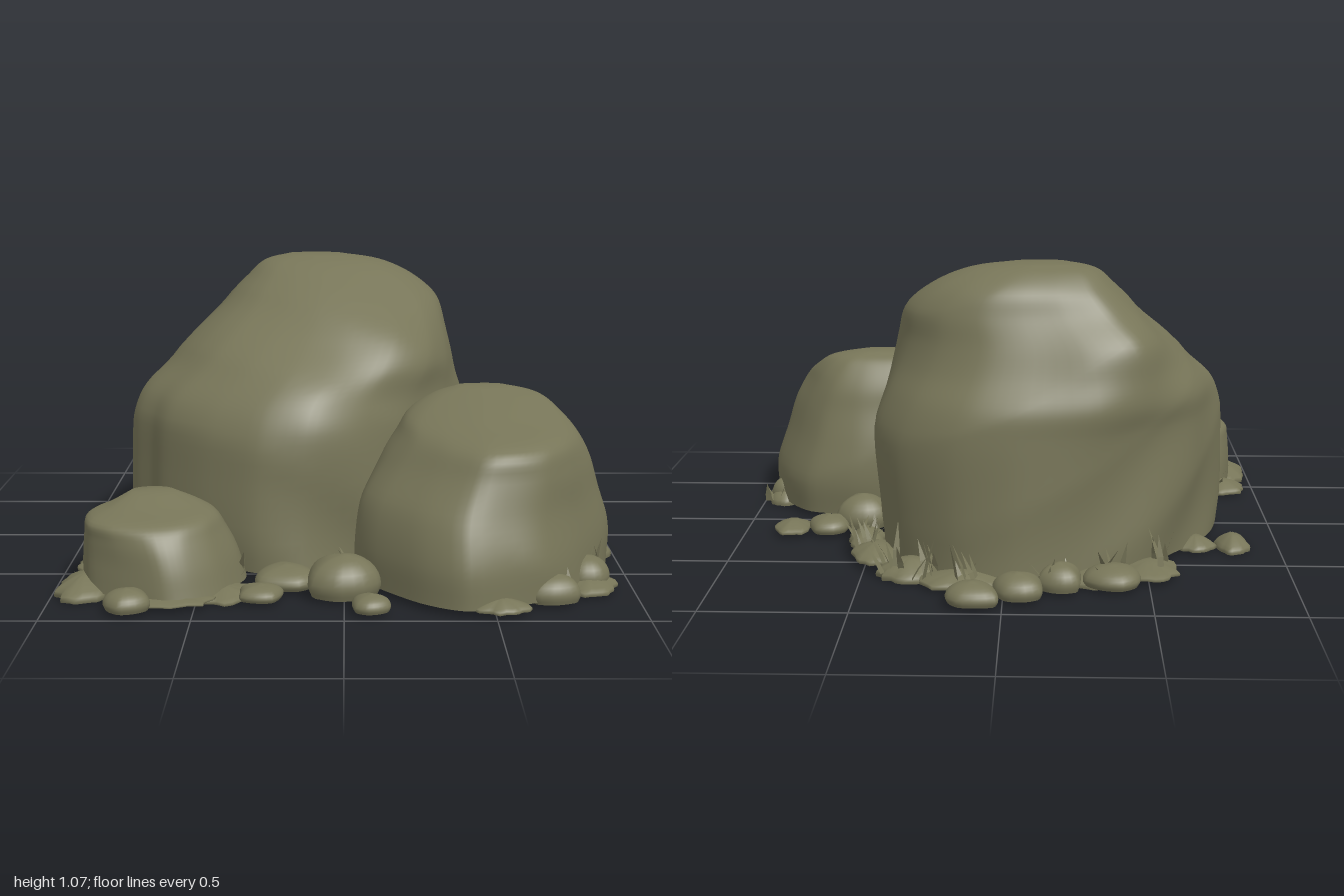
import * as THREE from 'three';

const stone = new THREE.MeshStandardMaterial({ color: 0x777558, side: THREE.DoubleSide });
stone.name = 'mossy stone';

// Small seeded random generator
function seeded(seed) {
  let s = seed;
  return () => {
    s = (s * 16807) % 2147483647;
    return s / 2147483647;
  };
}

// Gentle dents and ridges for weathered rock
function weather(p, seed) {
  return Math.sin(5 * p.x + 4 * p.y + seed) * Math.sin(5 * p.z - 6 * p.y + 2 * seed)
    + 0.5 * Math.sin(11 * p.x - 8 * p.z + 7 * p.y + seed)
    - 0.5 * Math.abs(Math.sin(4 * p.x + 9 * p.y - 3 * p.z + seed));
}

// Closed outline, optionally smoothed, scaled to run from 0 to 1 both ways
function unitLoop(outline, cols, smooth) {
  let loop = outline.map(([x, z]) => new THREE.Vector3(x, 0, z));
  if (smooth) loop = new THREE.CatmullRomCurve3(loop, true, 'catmullrom', 0.4).getPoints(cols).slice(0, cols);
  const box = new THREE.Box3().setFromPoints(loop);
  const size = box.getSize(new THREE.Vector3());
  return loop.map((q) => [(q.x - box.min.x) / size.x, (q.z - box.min.z) / size.z]);
}

// Loft an outline through rings [y, minX, maxX, minZ, maxZ, share of upper outline],
// with a flat base and closed top
function loftRock(outline, rings, { upper = outline, cols = 72, rows = 36, bump = 0, seed = 1, smooth = true } = {}) {
  const low = unitLoop(outline, cols, smooth), high = unitLoop(upper, cols, smooth);
  const n = low.length;
  const columns = low.map(([u, v], k) => {
    const path = rings.map(([y, x0, x1, z0, z1, t = 0]) => new THREE.Vector3(
      THREE.MathUtils.lerp(x0, x1, THREE.MathUtils.lerp(u, high[k][0], t)), y,
      THREE.MathUtils.lerp(z0, z1, THREE.MathUtils.lerp(v, high[k][1], t))));
    const column = new THREE.CatmullRomCurve3(path, false, 'centripetal').getPoints(rows);
    const dir = new THREE.Vector2(u - 0.5, v - 0.5).normalize();
    column.forEach((p) => {
      const d = weather(p, seed) * bump;
      p.x += dir.x * d;
      p.z += dir.y * d;
    });
    return column;
  });
  const pos = [], index = [];
  const mid = (row) => columns.reduce((a, c) => a.add(c[row]), new THREE.Vector3()).divideScalar(n);
  for (let r = 0; r <= rows; r++) columns.forEach((c) => pos.push(...c[r].toArray()));
  const top = (rows + 1) * n;
  const peak = mid(rows);
  pos.push(peak.x, peak.y + 0.004, peak.z);
  columns.forEach((c) => pos.push(...c[0].toArray()));
  pos.push(...mid(0).toArray());
  for (let k = 0; k < n; k++) {
    const k2 = (k + 1) % n;
    for (let r = 0; r < rows; r++) {
      const a = r * n + k, b = r * n + k2;
      index.push(a, a + n, b, b, a + n, b + n);
    }
    index.push(rows * n + k, top, rows * n + k2);
    index.push(top + 1 + k, top + 1 + k2, top + 1 + n);
  }
  const g = new THREE.BufferGeometry();
  g.setAttribute('position', new THREE.Float32BufferAttribute(pos, 3));
  g.setIndex(index);
  g.computeVertexNormals();
  return g;
}

// Rings of a low dome, used by pebbles and ground clumps
function domeRings(x, z, rx, rz, h, base, steps) {
  return steps.map(([t, s]) => [base + (h - base) * t, x - rx * s, x + rx * s, z - rz * s, z + rz * s]);
}

// Round plan outline with a radius rule
function roundOutline(n, radius) {
  return Array.from({ length: n }, (_, i) => {
    const a = (i / n) * Math.PI * 2, r = radius(i);
    return [-Math.cos(a) * r, -Math.sin(a) * r];
  });
}

// A fan of pointed grass blades
function grassTuft(x, z, height, seed) {
  const rnd = seeded(seed * 977 + 13), pos = [];
  for (let i = 0; i < 6; i++) {
    const a = rnd() * Math.PI * 2, lean = 0.02 + rnd() * 0.05, h = height * (0.5 + rnd() * 0.5);
    const bx = x + (rnd() - 0.5) * 0.09, bz = z + (rnd() - 0.5) * 0.09;
    const dx = Math.cos(a), dz = Math.sin(a), w = 0.012;
    const l = [bx - dz * w, 0.02, bz + dx * w], r = [bx + dz * w, 0.02, bz - dx * w];
    const mx = bx + dx * lean * 0.35, mz = bz + dz * lean * 0.35;
    const ml = [mx - dz * w, h * 0.5, mz + dx * w], mr = [mx + dz * w, h * 0.5, mz - dx * w];
    pos.push(...l, ...r, ...mr, ...l, ...mr, ...ml, ...ml, ...mr, bx + dx * lean, h, bz + dz * lean);
  }
  const g = new THREE.BufferGeometry();
  g.setAttribute('position', new THREE.Float32BufferAttribute(pos, 3));
  g.computeVertexNormals();
  return g;
}

export function createModel() {
  const model = new THREE.Group();
  model.name = 'boulderCluster';
  const add = (name, geometry, parent = model) => {
    const mesh = new THREE.Mesh(geometry, stone);
    mesh.name = name;
    parent.add(mesh);
  };
  const group = (name) => {
    const g = new THREE.Group();
    g.name = name;
    model.add(g);
    return g;
  };

  // Tall boulder, sloping down towards the front, with full shoulders at back right and front left
  add('largeBoulder', loftRock(
    [[-0.81, 0.02], [-0.76, -0.19], [-0.66, -0.4], [-0.5, -0.58], [-0.29, -0.7], [-0.02, -0.75],
      [0.19, -0.71], [0.38, -0.58], [0.49, -0.4], [0.48, -0.19], [0.4, 0.05], [0.24, 0.29],
      [0.06, 0.45], [-0.13, 0.56], [-0.31, 0.56], [-0.5, 0.45], [-0.65, 0.31], [-0.71, 0.21], [-0.78, 0.12]],
    [[0.02, -0.8, 0.47, -0.74, 0.56], [0.3, -0.82, 0.48, -0.745, 0.57], [0.5, -0.8, 0.475, -0.74, 0.55, 0.1],
      [0.6, -0.77, 0.455, -0.73, 0.5, 0.3], [0.7, -0.67, 0.435, -0.68, 0.4, 0.7], [0.8, -0.58, 0.405, -0.64, 0.26, 1],
      [0.9, -0.47, 0.365, -0.59, 0.09, 1], [0.98, -0.39, 0.27, -0.55, -0.05, 1],
      [1.04, -0.33, 0.14, -0.48, -0.17, 1], [1.065, -0.24, 0, -0.42, -0.26, 1]],
    { upper: [[0, 0.55], [0, 0.38], [0.03, 0.2], [0.12, 0.06], [0.3, 0], [0.5, 0], [0.66, 0.03],
      [0.82, 0.12], [0.94, 0.26], [1, 0.42], [0.99, 0.6], [0.92, 0.78], [0.78, 0.92], [0.6, 0.99],
      [0.45, 1], [0.3, 0.96], [0.16, 0.88], [0.08, 0.78], [0.03, 0.67]],
    cols: 96, rows: 48, bump: 0.014, seed: 2 }));

  // Medium boulder at the front left of the model
  add('mediumBoulder', loftRock(
    [[0.04, 0.56], [0.06, 0.4], [0.18, 0.2], [0.35, 0.05], [0.5, 0], [0.62, -0.01], [0.78, 0.03],
      [0.88, 0.15], [0.95, 0.33], [0.92, 0.5], [0.8, 0.7], [0.68, 0.84], [0.57, 0.9], [0.4, 0.95],
      [0.25, 0.87], [0.1, 0.7]],
    [[0.02, 0.04, 0.955, 0, 0.955], [0.15, 0.04, 0.95, -0.01, 0.95], [0.3, 0.06, 0.91, 0.01, 0.9, 0.2],
      [0.42, 0.13, 0.88, 0.04, 0.84, 0.6], [0.5, 0.2, 0.84, 0.06, 0.79, 1], [0.56, 0.24, 0.79, 0.09, 0.58, 1],
      [0.61, 0.32, 0.72, 0.13, 0.39, 1], [0.637, 0.41, 0.6, 0.18, 0.28, 1]],
    { upper: [[0, 0.52], [0, 0.33], [0.1, 0.12], [0.28, 0.02], [0.48, 0], [0.62, 0], [0.78, 0.03],
      [0.91, 0.15], [1, 0.36], [0.99, 0.56], [0.89, 0.77], [0.76, 0.91], [0.6, 0.98], [0.42, 1],
      [0.22, 0.88], [0.06, 0.7]],
    bump: 0.009, seed: 5 }));

  // Small boulder at the front right of the model
  add('smallBoulder', loftRock(
    [[-0.91, 0.6], [-0.86, 0.45], [-0.75, 0.36], [-0.6, 0.32], [-0.45, 0.38], [-0.36, 0.5],
      [-0.34, 0.62], [-0.4, 0.78], [-0.5, 0.87], [-0.6, 0.9], [-0.75, 0.84], [-0.87, 0.75]],
    [[0.02, -0.915, -0.34, 0.32, 0.89], [0.12, -0.91, -0.37, 0.33, 0.87], [0.2, -0.9, -0.41, 0.35, 0.84, 0.4],
      [0.25, -0.89, -0.44, 0.38, 0.8, 1], [0.28, -0.82, -0.5, 0.42, 0.68, 1], [0.315, -0.75, -0.6, 0.46, 0.56, 1]],
    { upper: [[0, 0.5], [0.08, 0.25], [0.25, 0.08], [0.5, 0], [0.78, 0.08], [0.95, 0.28], [1, 0.5],
      [0.93, 0.75], [0.76, 0.93], [0.5, 1], [0.22, 0.95], [0.05, 0.8]],
    cols: 56, rows: 24, bump: 0.006, seed: 8 }));

  // Pebbles around the foot: x, z, radius, height
  const pebbles = group('pebbles');
  [[-0.37, -0.73, 0.1, 0.08], [-0.19, -0.77, 0.075, 0.1], [-0.05, -0.85, 0.085, 0.09], [0.1, -0.91, 0.09, 0.08],
    [-0.74, 0.22, 0.06, 0.08], [0.56, -0.08, 0.1, 0.13], [0.68, -0.16, 0.08, 0.07], [0, 0.74, 0.125, 0.145],
    [0.09, 0.92, 0.065, 0.065], [-0.28, 0.8, 0.075, 0.06], [-0.2, 0.64, 0.11, 0.08], [-0.72, 0.91, 0.08, 0.08],
    [0.71, 0.81, 0.085, 0.1], [0.84, 0.63, 0.085, 0.11], [0.92, 0.25, 0.05, 0.1], [-0.01, 0.54, 0.06, 0.08],
  ].forEach(([x, z, r, h], i) => {
    const rnd = seeded(i * 313 + 71);
    add('pebble', loftRock(roundOutline(9, () => 0.85 + rnd() * 0.3),
      domeRings(x, z, r, r * (0.88 + rnd() * 0.12), h, 0.012,
        [[0, 0.9], [0.3, 1], [0.65, 0.86], [0.9, 0.52], [1, 0.15]]),
      { cols: 24, rows: 10 }), pebbles);
  });

  // Ragged low clumps: x, z, radius along x, radius along z, height
  const clumps = group('groundClumps');
  [[-0.83, -0.29, 0.065, 0.1, 0.05], [-0.69, -0.31, 0.08, 0.08, 0.05], [0.82, -0.16, 0.07, 0.09, 0.05],
    [-0.89, 0.68, 0.1, 0.16, 0.06], [-0.87, 0.44, 0.09, 0.1, 0.05], [-0.59, 0.84, 0.16, 0.09, 0.035],
    [-0.42, 0.74, 0.11, 0.12, 0.035], [0.85, 0.66, 0.1, 0.13, 0.05], [0.52, 0.92, 0.1, 0.08, 0.05],
    [0.92, 0.26, 0.07, 0.09, 0.07], [0.52, -0.28, 0.07, 0.11, 0.06], [0.47, -0.46, 0.09, 0.13, 0.06],
    [0.33, -0.62, 0.12, 0.11, 0.06], [0.14, -0.72, 0.16, 0.09, 0.05], [-0.5, -0.6, 0.11, 0.13, 0.05],
    [-0.32, -0.69, 0.13, 0.08, 0.05], [0.03, 0.62, 0.07, 0.11, 0.035],
  ].forEach(([x, z, rx, rz, h], i) => {
    const rnd = seeded(i * 541 + 29);
    add('groundClump', loftRock(roundOutline(26, () => 0.78 + rnd() * 0.22),
      domeRings(x, z, rx, rz, h, (i % 3) * 0.008, [[0, 0.98], [0.25, 1], [0.6, 0.75], [1, 0.3]]),
      { rows: 5, smooth: false }), clumps);
  });

  // Grass tufts: x, z, height
  const grass = group('grass');
  [[-0.33, 0.47, 0.25], [-0.34, 0.6, 0.17], [-0.9, 0.66, 0.1], [-0.86, 0.42, 0.12], [0.86, 0.62, 0.17],
    [0.72, 0.8, 0.13], [0.94, 0.2, 0.11], [0.52, -0.3, 0.12], [0.5, -0.46, 0.18], [0.38, -0.63, 0.2],
    [0.27, -0.71, 0.2], [0.12, -0.77, 0.18], [-0.36, -0.71, 0.14], [-0.54, -0.6, 0.17],
    [-0.19, -0.76, 0.13], [0.56, -0.04, 0.13], [0, 0.53, 0.13],
  ].forEach(([x, z, h], i) => add('grassTuft', grassTuft(x, z, h, i + 1), grass));

  return model;
}
